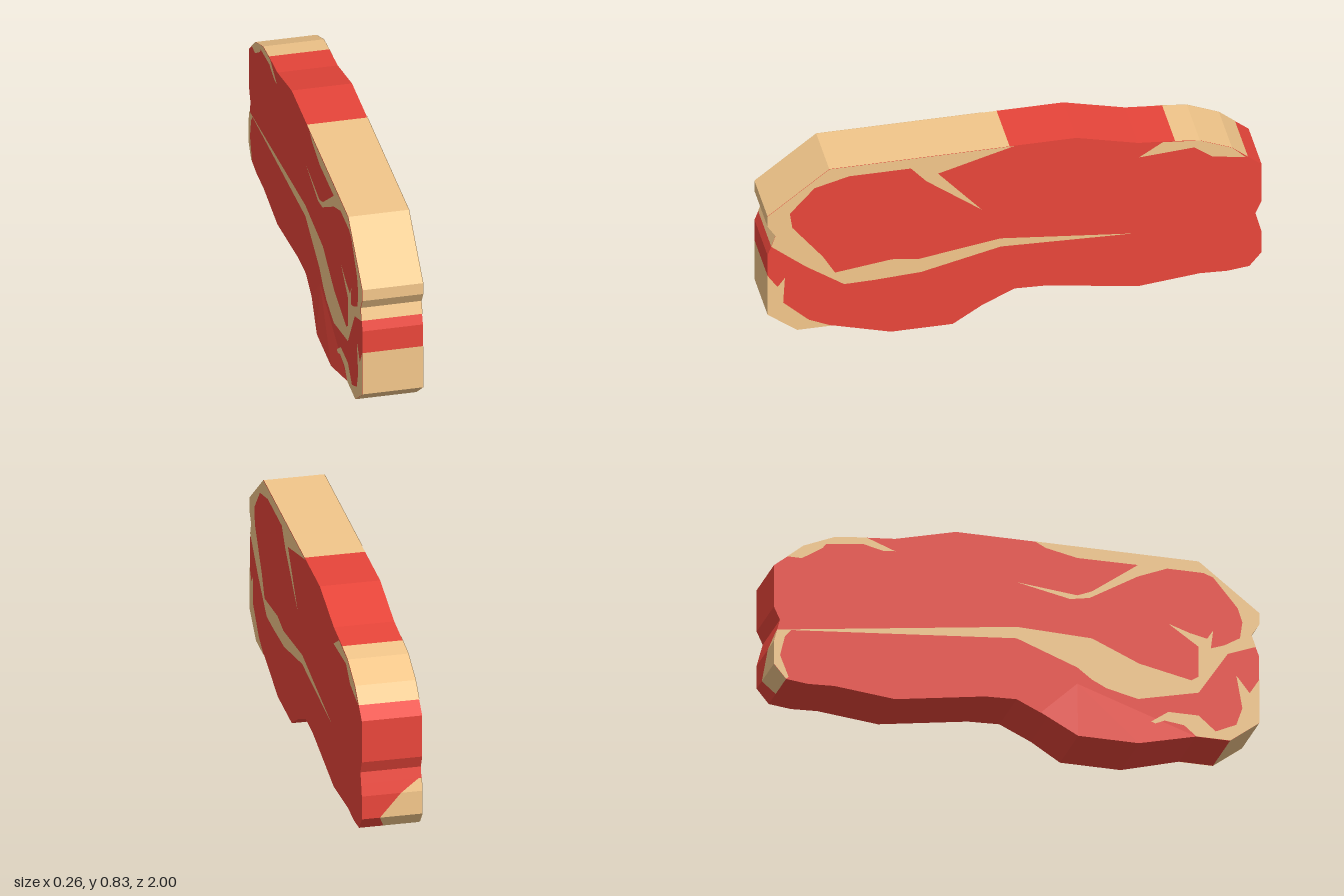
import * as THREE from 'three';
import { ConvexGeometry } from 'three/addons/geometries/ConvexGeometry.js';

const RIGHT = -0.117, LEFT = 0.128, SKIN = 0.002;
const paint = (color) => new THREE.MeshStandardMaterial({ color, flatShading: true, side: THREE.DoubleSide });

// Slab outline as [z, y, fat, fatEnd]: share of the rind, from the right face,
// that is fat at the start and end of the edge leaving this point.
const OUTLINE = [
  [0.75, 0.833, 1, 1], [0.02, 0.833, 0, 0], [-0.25, 0.833, 0, 0], [-0.5, 0.77, 0, 0],
  [-0.65, 0.757, 1, 1], [-0.75, 0.745, 1, 1], [-0.88, 0.69, 1, 1], [-0.945, 0.635, 0, 0],
  [-1, 0.59, 0, 0], [-1, 0.41, 0, 0], [-0.975, 0.355, 0, 0], [-0.987, 0.31, 0.05, 0.35],
  [-1, 0.26, 0.35, 0.7], [-1, 0.16, 0.7, 0.6], [-0.95, 0.1, 0, 0], [-0.86, 0.09, 0, 0],
  [-0.75, 0.095, 0, 0], [-0.5, 0.07, 0, 0], [-0.13, 0.13, 0, 0], [0, 0.135, 0, 0],
  [0.13, 0.075, 0, 0], [0.25, 0, 0, 0], [0.5, 0, 0, 0], [0.74, 0.068, 0, 0],
  [0.88, 0.068, 1, 1], [1, 0.16, 1, 1], [1, 0.35, 0, 0], [1, 0.45, 0, 0],
  [0.985, 0.49, 1, 1], [0.968, 0.54, 1, 1], [1, 0.59, 1, 1], [1, 0.64, 1, 1],
];

// Fat marbling on each cut face, as [z, y] polygons
const RIGHT_FAT = {
  rimAndSeam: [
    [0.075, 0.833], [0.75, 0.833], [1, 0.64], [1, 0.59], [0.968, 0.54], [0.985, 0.49],
    [0.87, 0.445], [0.75, 0.26], [0.5, 0.2], [0.37, 0.23], [0.31, 0.26], [0.25, 0.305],
    [0, 0.4], [-0.93, 0.315], [-0.955, 0.285], [-0.975, 0.2], [-0.94, 0.11], [-0.95, 0.1],
    [-1, 0.16], [-1, 0.26], [-0.987, 0.31], [0, 0.45], [0.31, 0.44], [0.505, 0.355],
    [0.72, 0.31], [0.75, 0.33], [0.75, 0.46], [0.625, 0.545], [0.715, 0.515], [0.785, 0.5],
    [0.81, 0.54], [0.8, 0.46], [0.855, 0.48], [0.92, 0.52], [0.93, 0.59], [0.91, 0.65],
    [0.81, 0.77], [0.77, 0.785], [0.62, 0.785], [0.5, 0.735], [0.3, 0.615], [0.22, 0.6],
    [0, 0.645], [0.25, 0.62], [0.31, 0.645], [0.5, 0.785], [0.25, 0.783], [0.12, 0.81],
  ],
  lowerFront: [
    [1, 0.35], [0.96, 0.285], [0.905, 0.355], [0.93, 0.215], [0.905, 0.14], [0.82, 0.1],
    [0.75, 0.16], [0.625, 0.16], [0.5, 0.07], [0.61, 0.12], [0.69, 0.11], [0.74, 0.068],
    [0.88, 0.068], [1, 0.16],
  ],
  upperBack: [
    [-0.5, 0.715], [-0.62, 0.76], [-0.75, 0.745], [-0.88, 0.69], [-0.945, 0.635],
    [-0.885, 0.635], [-0.8, 0.69], [-0.785, 0.71], [-0.635, 0.73], [-0.55, 0.71],
  ],
};
const LEFT_FAT = {
  rimAndSeam: [
    [0, 0.833], [0.75, 0.833], [1, 0.64], [1, 0.59], [0.968, 0.54], [0.985, 0.49],
    [0.846, 0.373], [0.69, 0.263], [0.566, 0.265], [0.378, 0.275], [0.056, 0.35],
    [-0.48, 0.332], [0.056, 0.39], [0.39, 0.34], [0.497, 0.355], [0.727, 0.325],
    [0.776, 0.41], [0.9, 0.57], [0.91, 0.64], [0.81, 0.75], [0.67, 0.787], [0.42, 0.787],
    [0.357, 0.715], [0.133, 0.542], [0.31, 0.745], [0.1, 0.805],
  ],
  lowerFront: [
    [1, 0.35], [0.96, 0.29], [0.93, 0.33], [0.937, 0.21], [0.832, 0.11], [0.74, 0.068],
    [0.88, 0.068], [1, 0.16],
  ],
  upperBack: [
    [-0.6, 0.76], [-0.503, 0.7], [-0.727, 0.715], [-0.8, 0.66], [-0.937, 0.635],
    [-0.88, 0.69], [-0.75, 0.745],
  ],
};

// Flat polygon facing along side * x
function facePlate(points, side, x) {
  const shape = new THREE.Shape(points.map(([z, y]) => new THREE.Vector2(-side * z, y)));
  return new THREE.ShapeGeometry(shape).rotateY(side * Math.PI / 2).translate(x, 0, 0);
}

// Band of quads round the outline, between two shares of the thickness
function rind(isFat) {
  const pos = [];
  const at = (t) => RIGHT + (LEFT - RIGHT) * t;
  OUTLINE.forEach(([z, y, f0, f1], i) => {
    const [z2, y2] = OUTLINE[(i + 1) % OUTLINE.length];
    const [a0, a1, b0, b1] = isFat ? [0, 0, f0, f1] : [f0, f1, 1, 1];
    if (a0 === b0 && a1 === b1) return;
    const a = [at(a0), y, z], b = [at(a1), y2, z2], c = [at(b1), y2, z2], d = [at(b0), y, z];
    pos.push(...a, ...d, ...c, ...a, ...c, ...b);
  });
  const geo = new THREE.BufferGeometry();
  geo.setAttribute('position', new THREE.Float32BufferAttribute(pos, 3));
  geo.computeVertexNormals();
  return geo;
}

export function createModel() {
  const group = new THREE.Group();
  const meat = paint(0xe8453a), fat = paint(0xf2c68a);
  const add = (name, geo, mat) => {
    const mesh = new THREE.Mesh(geo, mat);
    mesh.name = name;
    group.add(mesh);
  };

  // Outer edge of the slab
  add('meatEdge', rind(false), meat);
  add('fatEdge', rind(true), fat);

  // Cut faces with their marbling
  const faces = [['right', -1, RIGHT, RIGHT_FAT], ['left', 1, LEFT, LEFT_FAT]];
  for (const [label, side, x, marbling] of faces) {
    add(`${label}MeatFace`, facePlate(OUTLINE, side, x), meat);
    for (const [part, points] of Object.entries(marbling)) {
      add(`${label}Fat_${part}`, facePlate(points, side, x + side * SKIN), fat);
    }
  }

  // Slight swelling low on the right face
  const bulge = [
    [RIGHT, 0.068, 0.74], [RIGHT, 0, 0.5], [RIGHT, 0, 0.25], [RIGHT, 0.09, 0.1],
    [RIGHT, 0.235, 0.25], [-0.13, 0.002, 0.5], [-0.13, 0.002, 0.25],
  ].map((p) => new THREE.Vector3(...p));
  add('lowerBulge', new ConvexGeometry(bulge), meat);

  return group;
}
